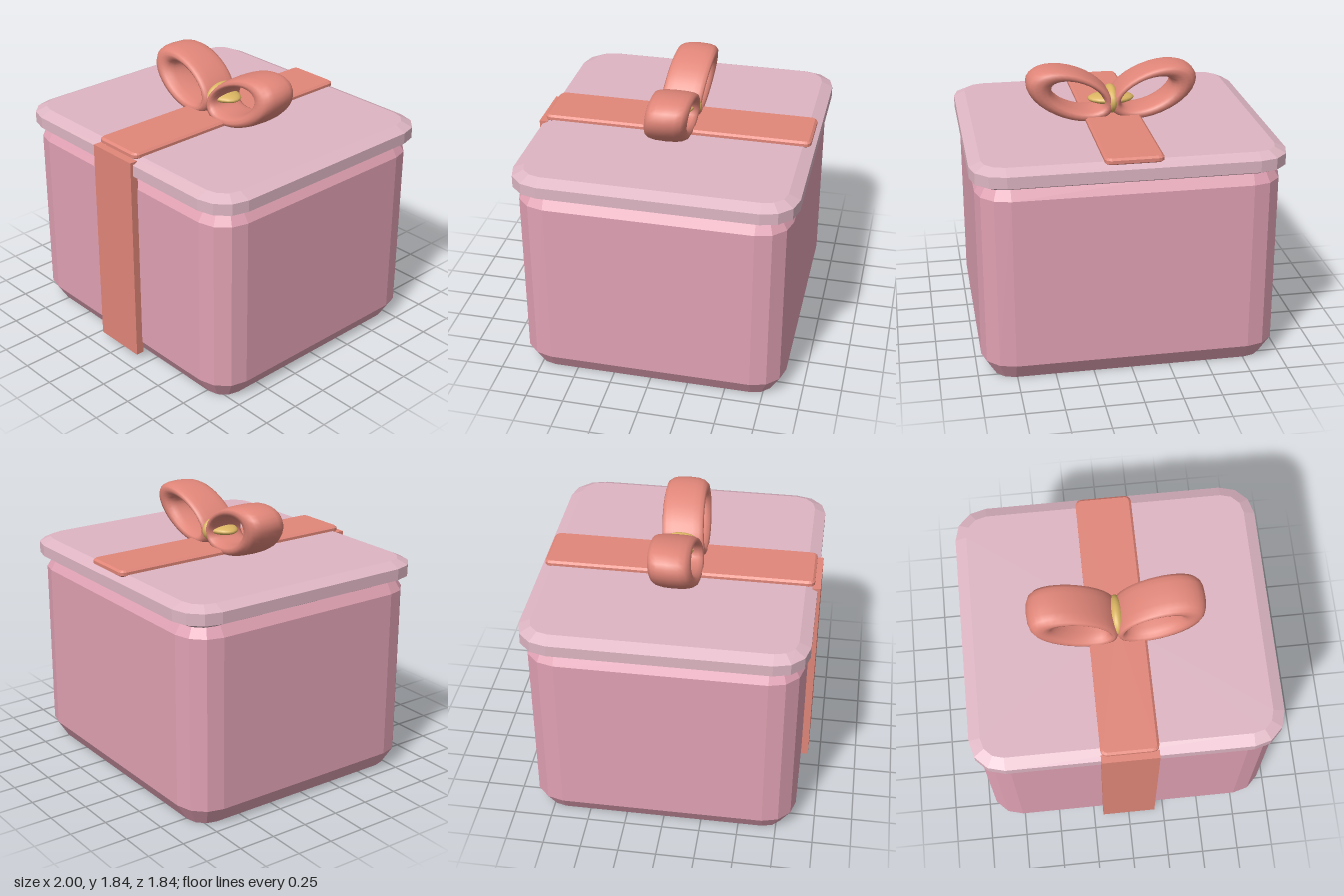
import * as THREE from 'three';

const mat = (name, color) => {
  const m = new THREE.MeshStandardMaterial({ color });
  m.name = name;
  return m;
};

// Rounded rectangle outline: three facets per corner
function outline(hx, hz, r) {
  const pts = [];
  for (let q = 0; q < 4; q++) {
    const sx = q === 0 || q === 3 ? 1 : -1, sz = q < 2 ? 1 : -1;
    for (let k = 0; k <= 3; k++) {
      const a = (q + k / 3) * Math.PI / 2;
      pts.push([sx * (hx - r) + r * Math.cos(a), sz * (hz - r) + r * Math.sin(a)]);
    }
  }
  return pts;
}

// Faceted slab with chamfered rims; levels are [y, inset]
function chamferedSlab(hx, hz, r, levels) {
  const pos = [], idx = [], n = 16;
  for (const [y, inset] of levels)
    for (const [x, z] of outline(hx - inset, hz - inset, r - inset)) pos.push(x, y, z);
  const last = (levels.length - 1) * n, bottom = pos.length / 3, top = bottom + 1;
  pos.push(0, levels[0][0], 0, 0, levels[levels.length - 1][0], 0);
  for (let i = 0; i < n; i++) {
    const j = (i + 1) % n;
    for (let k = 0; k < last; k += n)
      idx.push(k + i, k + n + i, k + j, k + j, k + n + i, k + n + j);
    idx.push(bottom, i, j, top, last + j, last + i);
  }
  return finish(pos, idx, true);
}

function finish(pos, idx, flat) {
  let g = new THREE.BufferGeometry();
  g.setAttribute('position', new THREE.Float32BufferAttribute(pos, 3));
  g.setIndex(idx);
  if (flat) g = g.toNonIndexed();
  g.computeVertexNormals();
  return g;
}

// Bow loop: a soft band between an outer ellipse and a smaller, offset hole
function bowLoop(side) {
  const pos = [], idx = [], T = 32, P = 16, tilt = 0.385;
  const ellipse = (cx, cy, a, b, t) => {
    const u = a * Math.cos(t), v = b * Math.sin(t);
    return [cx + u * Math.cos(tilt) - v * Math.sin(tilt), cy + u * Math.sin(tilt) + v * Math.cos(tilt)];
  };
  const soft = (v) => Math.sign(v) * Math.abs(v) ** 0.75;
  for (let i = 0; i < T; i++) {
    const t = i / T * Math.PI * 2;
    const o = ellipse(0.277, 1.645, 0.305, 0.165, t), h = ellipse(0.23, 1.64, 0.18, 0.09, t);
    for (let j = 0; j < P; j++) {
      const p = j / P * Math.PI * 2, f = (1 + soft(Math.cos(p))) / 2;
      const x = h[0] + (o[0] - h[0]) * f, y = h[1] + (o[1] - h[1]) * f;
      pos.push(side * x, y, 0.137 * soft(Math.sin(p)) - 0.13 * (y - 1.64) - 0.006);
      const a = i * P + j, b = ((i + 1) % T) * P + j;
      const c = i * P + (j + 1) % P, d = ((i + 1) % T) * P + (j + 1) % P;
      if (side > 0) idx.push(a, b, c, c, b, d);
      else idx.push(a, c, b, c, d, b);
    }
  }
  return finish(pos, idx, false);
}

export function createModel() {
  const group = new THREE.Group();
  const pink = mat('box pink', 0xe0a1b3), pale = mat('lid pale pink', 0xdeb6c3);
  const coral = mat('ribbon coral', 0xe18679), gold = mat('knot gold', 0xdbb562);
  const add = (name, geo, material, x = 0, y = 0, z = 0) => {
    const m = new THREE.Mesh(geo, material);
    m.name = name;
    m.position.set(x, y, z);
    group.add(m);
    return m;
  };

  // Box and lid
  add('boxBody', chamferedSlab(0.97, 0.876, 0.21,
    [[0, 0.075], [0.12, 0], [1.26, 0], [1.38, 0.075]]), pink, 0, 0, -0.006);
  add('lid', chamferedSlab(1, 0.908, 0.215,
    [[1.325, 0.075], [1.36, 0], [1.435, 0], [1.47, 0.075]]), pale, 0, 0, -0.01);

  // Ribbon strips on the front and across the lid
  add('frontRibbon', new THREE.BoxGeometry(0.37, 1.415, 0.054), coral, 0, 0.7475, 0.891);
  add('lidRibbon', chamferedSlab(0.185, 0.886, 0.04,
    [[1.457, 0.015], [1.467, 0], [1.488, 0], [1.5, 0.015]]), coral, 0, 0, -0.007);

  // Bow
  add('bowLoopLeft', bowLoop(1), coral);
  add('bowLoopRight', bowLoop(-1), coral);

  // Knot: upright wrap and the narrow cross piece inside the loops
  const ball = new THREE.SphereGeometry(1, 20, 14);
  add('knotWrap', ball, gold, 0, 1.59, -0.012).scale.set(0.054, 0.092, 0.134);
  add('knotCross', ball, gold, 0, 1.595, -0.01).scale.set(0.155, 0.036, 0.1);

  return group;
}
